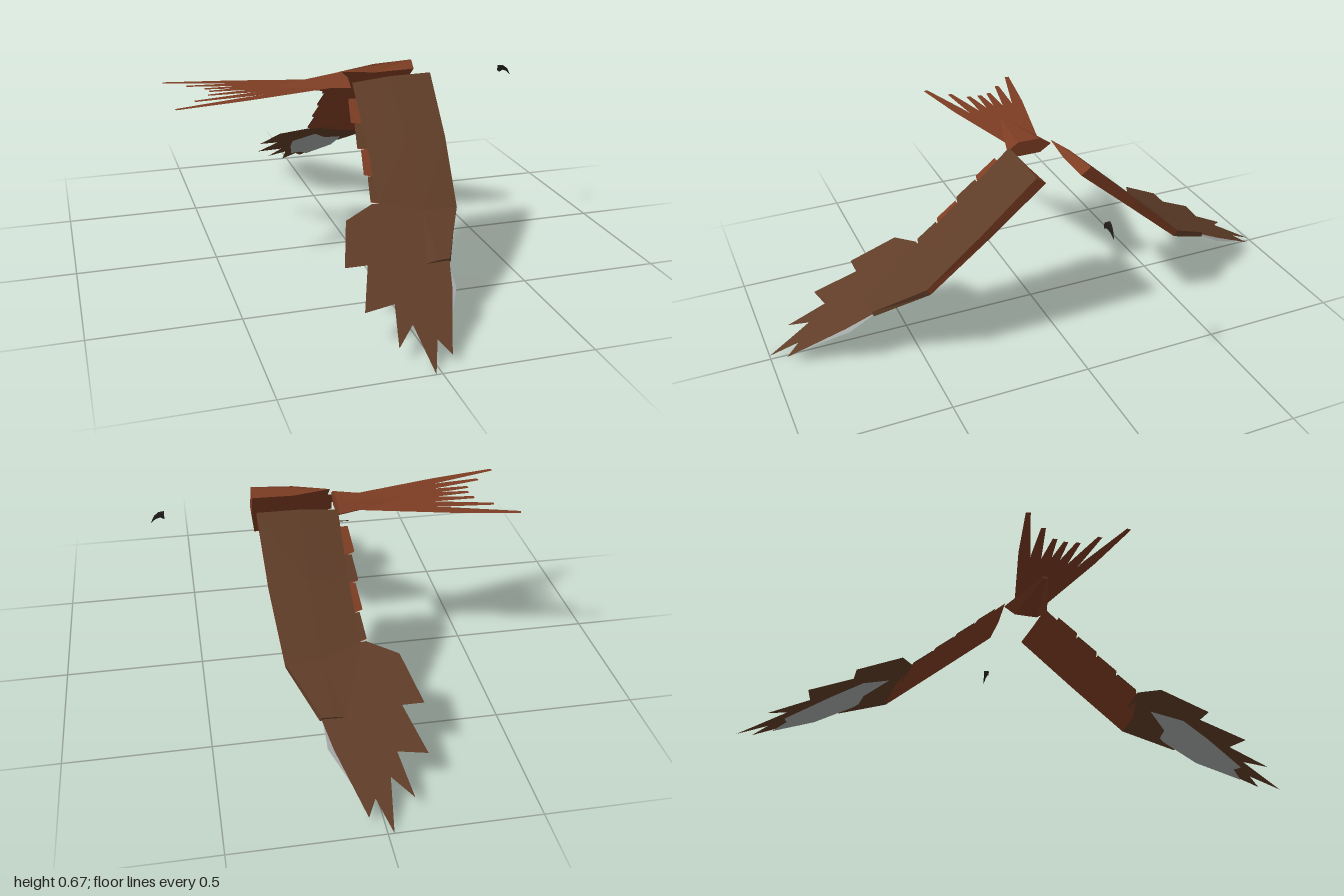
import * as THREE from 'three';

const mat = (name, color) => {
  const m = new THREE.MeshStandardMaterial({ color, side: THREE.DoubleSide });
  m.name = name;
  return m;
};

// Flat-faceted mesh from a list of triangles of [x, y, z] points
function facets(name, tris, material) {
  const g = new THREE.BufferGeometry();
  g.setAttribute('position', new THREE.Float32BufferAttribute(tris.flat(2), 3));
  g.computeVertexNormals();
  const mesh = new THREE.Mesh(g, material);
  mesh.name = name;
  return mesh;
}

// Thin sheet: an [x, z] outline laid on the height rule y(x, z)
function sheet(name, outline, height, side, material) {
  const pts = outline.map(([x, z]) => new THREE.Vector2(x, z));
  const faces = THREE.ShapeUtils.triangulateShape(pts, []);
  const up = ([x, z]) => [x, height(x, z), z * side];
  const tris = faces.map(([a, b, c]) => {
    // Wind every face so that it looks upwards
    const [p, q, r] = [outline[a], outline[b], outline[c]];
    const turn = (q[0] - p[0]) * (r[1] - p[1]) - (q[1] - p[1]) * (r[0] - p[0]);
    return (turn * side < 0 ? [p, q, r] : [p, r, q]).map(up);
  });
  return facets(name, tris, material);
}

// Strips joining the chosen corners of neighbouring cross-sections
function loft(name, sections, corners, side, material) {
  const tris = [];
  const at = (s, c) => [sections[s][c][0], sections[s][c][1], sections[s][c][2] * side];
  for (let s = 0; s < sections.length - 1; s++) {
    for (let i = 0; i < corners.length - 1; i++) {
      const a = at(s, corners[i]), b = at(s, corners[i + 1]);
      const c = at(s + 1, corners[i + 1]), d = at(s + 1, corners[i]);
      tris.push(...(side > 0 ? [[a, b, c], [a, c, d]] : [[a, c, b], [a, d, c]]));
    }
  }
  return facets(name, tris, material);
}

function cap(name, section, side, material) {
  const p = section.map(([x, y, z]) => [x, y, z * side]);
  return facets(name, [1, 2, 3].map((i) => [p[0], p[i], p[i + 1]]), material);
}

// Wing cross-sections: lead top, top middle, trailing edge, under middle, lead bottom
const ROOT = [[0.28, 0.667, 0.1], [0.13, 0.662, 0.092], [-0.005, 0.645, 0.08], [0.13, 0.635, 0.07], [0.278, 0.64, 0.065]];
const MIDDLE = [[0.268, 0.487, 0.293], [0.13, 0.485, 0.285], [-0.008, 0.485, 0.258], [0.13, 0.465, 0.27], [0.266, 0.462, 0.27]];
const ELBOW = [[0.24, 0.302, 0.487], [0.12, 0.302, 0.482], [-0.02, 0.325, 0.435], [0.12, 0.288, 0.472], [0.24, 0.28, 0.475]];
const WRIST = [[0.15, 0.202, 0.66], [0.11, 0.201, 0.66], [0.07, 0.194, 0.66], [0.11, 0.188, 0.656], [0.155, 0.187, 0.655]];

const HAND = [[0.24, 0.485], [0.16, 0.62], [0.125, 0.75], [0.05, 0.95], [0.02, 0.9], [-0.02, 1],
  [-0.04, 0.845], [-0.105, 0.91], [-0.075, 0.775], [-0.175, 0.79], [-0.12, 0.64],
  [-0.195, 0.64], [-0.145, 0.48], [-0.04, 0.43], [0.1, 0.44]];
const PATCH = [[0.01, 0.5], [0.07, 0.58], [0.147, 0.59], [0.143, 0.74], [0.064, 0.885],
  [0.03, 0.84], [-0.012, 0.85], [-0.05, 0.7], [-0.063, 0.6]];

function makeWing(side, { brown, rust, grey }) {
  const wing = new THREE.Group();
  wing.name = side > 0 ? 'frontWing' : 'backWing';

  // Inner arm: brown above, rust along the leading edge and below
  const arm = [ROOT, MIDDLE, ELBOW];
  wing.add(loft('armTop', arm, [0, 1, 2], side, brown));
  wing.add(loft('armUnderside', arm, [2, 3, 4, 0], side, rust));
  wing.add(cap('armRoot', ROOT, side, rust));

  // Thick leading edge of the hand
  wing.add(loft('handLeadingEdge', [ELBOW, WRIST], [0, 1, 2, 3, 4, 0], side, brown));
  wing.add(cap('handLeadingEnd', WRIST, side, brown));

  // Fingered outer feathers and the pale patch below them
  const handHeight = (x, z) => 0.566 * (1 - z);
  wing.add(sheet('flightFeathers', HAND, handHeight, side, brown));
  wing.add(sheet('palePatch', PATCH, (x, z) => handHeight(x, z) - 0.009, side, grey));

  // Short trailing feathers
  const trail = (x, z) => 0.641 - 0.9 * (z - 0.08);
  for (let i = 0; i < 4; i++) {
    const z = 0.125 + i * 0.077;
    const f = [[0.04, z], [-0.032, z], [-0.043, z + 0.068], [-0.012, z + 0.075], [0.04, z + 0.075]];
    wing.add(sheet('trailingFeather', f, trail, side, i % 2 ? brown : rust));
    wing.add(sheet('trailingFeatherUnderside', f, (x, zz) => trail(x, zz) - 0.005, side, rust));
  }
  return wing;
}

function makeTail({ rust }) {
  const tail = new THREE.Group();
  tail.name = 'tail';

  // Flattened six-sided cone at the base
  const g = new THREE.CylinderGeometry(0.085, 0.012, 0.25, 6).toNonIndexed();
  g.rotateZ(-Math.PI / 2);
  g.scale(1, 0.37, 1);
  g.translate(-0.135, 0.628, 0);
  g.computeVertexNormals();
  const base = new THREE.Mesh(g, rust);
  base.name = 'tailBase';
  tail.add(base);

  // Fan of long feathers, the outer ones longest
  const tips = [[-0.5, 0], [-0.51, 0.042], [-0.565, 0.1], [-0.64, 0.175]];
  tips.forEach(([tx, tz], i) => {
    const start = new THREE.Vector2(-0.05, tz * 0.2);
    const along = new THREE.Vector2(tx, tz).sub(start);
    const across = new THREE.Vector2(-along.y, along.x).normalize();
    const point = (t, w) => [start.x + along.x * t + across.x * w, start.y + along.y * t + across.y * w];
    const outline = [point(0, 0.02), point(0.6, 0.021), point(1, 0.008),
      point(1, -0.008), point(0.6, -0.021), point(0, -0.02)];
    for (const side of i ? [1, -1] : [1]) {
      tail.add(sheet('tailFeather', outline, () => 0.631 - i * 0.0015, side, rust));
    }
  });
  return tail;
}

function makeBeak({ black }) {
  // Hooked profile, narrowing to the tip
  const shape = new THREE.Shape([[0.592, 0.645], [0.61, 0.645], [0.626, 0.634], [0.64, 0.608],
    [0.622, 0.624], [0.606, 0.63], [0.592, 0.624]].map(([x, y]) => new THREE.Vector2(x, y)));
  const g = new THREE.ExtrudeGeometry(shape, { depth: 0.02, bevelEnabled: false });
  g.translate(0, 0, -0.01);
  const p = g.attributes.position;
  for (let i = 0; i < p.count; i++) {
    p.setZ(i, p.getZ(i) * Math.max(0.08, (0.642 - p.getX(i)) / 0.05));
  }
  g.computeVertexNormals();
  const beak = new THREE.Mesh(g, black);
  beak.name = 'beak';
  return beak;
}

export function createModel() {
  const mats = {
    brown: mat('feather brown', 0x5f3d28),
    rust: mat('rust brown', 0x7d3d23),
    grey: mat('pale grey', 0xa3a6a6),
    black: mat('beak black', 0x1e1c1b),
  };
  const bird = new THREE.Group();
  bird.name = 'bird';
  bird.add(makeWing(1, mats), makeWing(-1, mats), makeTail(mats), makeBeak(mats));
  return bird;
}
